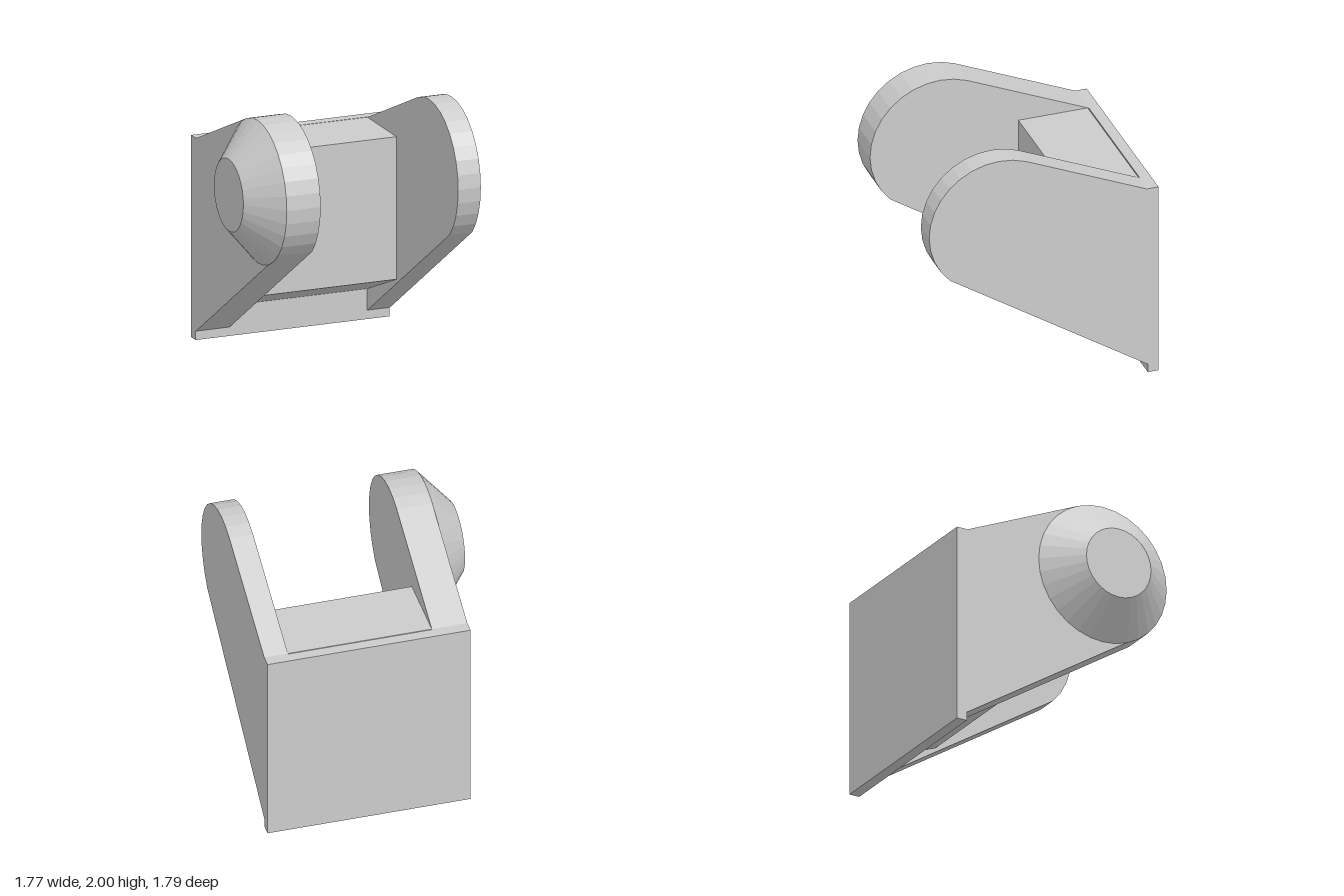
import * as THREE from 'three';

const PIVOT = { y: 1.455, z: 0.35, r: 0.545 };
const material = new THREE.MeshStandardMaterial({ color: 0xcccccc, flatShading: true });

function addMesh(group, name, geometry) {
  const mesh = new THREE.Mesh(geometry, material);
  mesh.name = name;
  group.add(mesh);
}

// Extrude a side profile of [z, y] points between two x positions
function sideExtrude(points, x0, x1) {
  const shape = new THREE.Shape(points.map(([z, y]) => new THREE.Vector2(z, y)));
  const geometry = new THREE.ExtrudeGeometry(shape, { depth: x1 - x0, bevelEnabled: false });
  return geometry.rotateY(-Math.PI / 2).translate(x1, 0, 0);
}

export function createModel() {
  const group = new THREE.Group();
  group.name = 'clevisBracket';

  // Back plate
  const plate = new THREE.BoxGeometry(1.545, 1.545, 0.083);
  addMesh(group, 'backPlate', plate.translate(0.1125, 0.7725, -0.8485));

  // Arms: tapered towards the plate, rounded around the pivot
  const armProfile = [[-0.807, 1.545], [-0.807, 0.07], [-0.8, 0.07]];
  for (let i = 0; i <= 14; i++) {
    const a = -Math.PI / 4 + (i * Math.PI) / 16;
    armProfile.push([PIVOT.z + PIVOT.r * Math.cos(a), PIVOT.y + PIVOT.r * Math.sin(a)]);
  }
  armProfile.push([-0.8, 1.545]);
  addMesh(group, 'rightArm', sideExtrude(armProfile, -0.66, -0.39));
  addMesh(group, 'leftArm', sideExtrude(armProfile, 0.705, 0.885));

  // Block between the arms, with a sloping underside
  const blockProfile = [[-0.8, 0.235], [-0.26, 0.455], [-0.26, 1.545], [-0.8, 1.545]];
  addMesh(group, 'centreBlock', sideExtrude(blockProfile, -0.39, 0.705));

  // Conical boss on the outside of the right arm
  const boss = new THREE.CylinderGeometry(0.275, PIVOT.r, 0.23, 32);
  addMesh(group, 'pivotBoss', boss.rotateZ(Math.PI / 2).translate(-0.775, PIVOT.y, PIVOT.z));

  return group;
}
